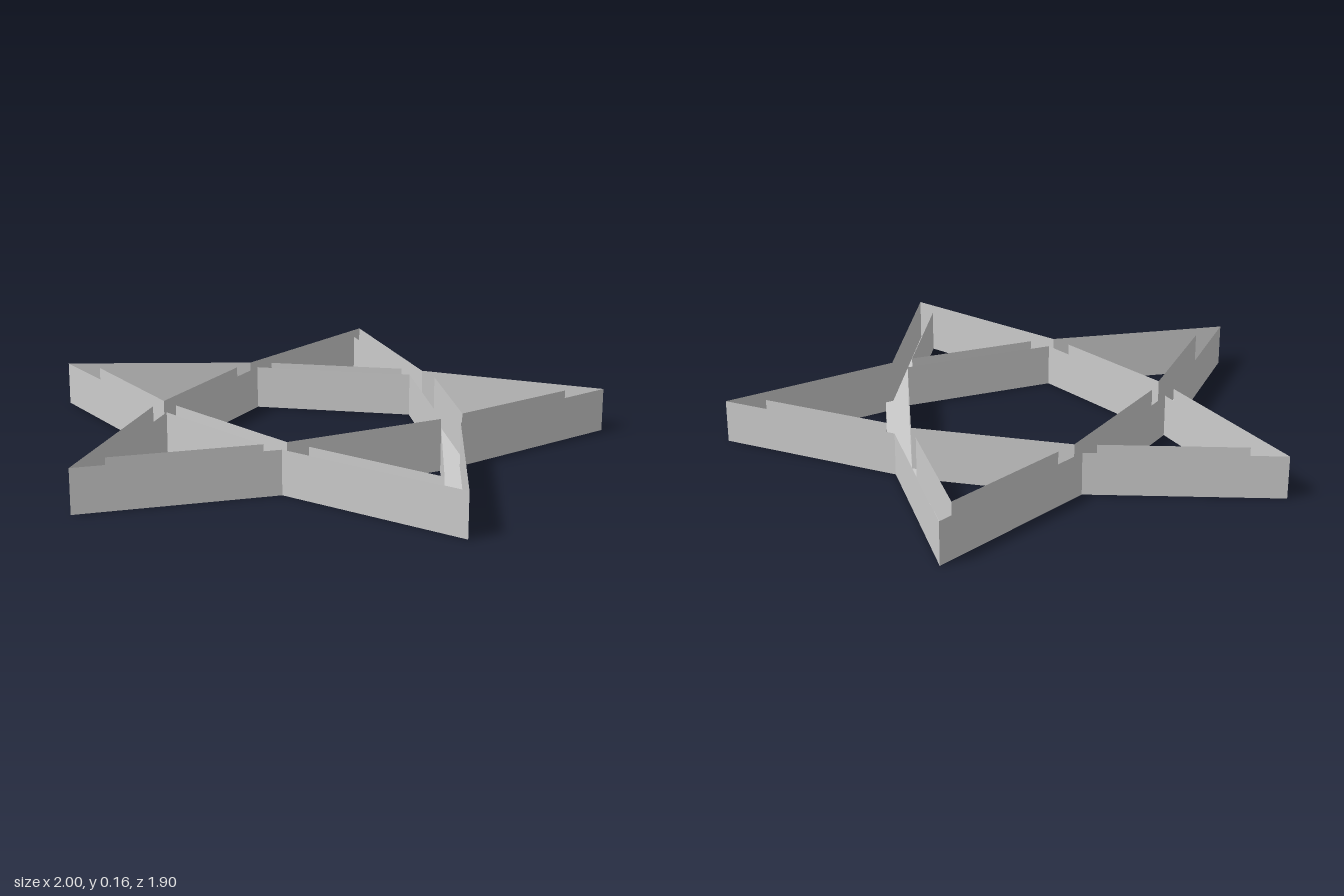
import * as THREE from 'three';

const HEIGHT = 0.155;

// Plan outlines as [x, z]
const outline = [
  [0, -0.95], [0.33, -0.355], [1, -0.23], [0.535, 0.265], [0.627, 0.94],
  [0, 0.655], [-0.615, 0.95], [-0.535, 0.265], [-1, -0.22], [-0.325, -0.355],
];
const pointOpenings = [
  [[0, -0.81], [0.25, -0.37], [-0.245, -0.365]],
  [[0.385, -0.275], [0.865, -0.185], [0.53, 0.16]],
  [[0.475, 0.325], [0.54, 0.825], [0.08, 0.61]],
  [[-0.07, 0.61], [-0.535, 0.83], [-0.47, 0.325]],
  [[-0.865, -0.18], [-0.36, -0.28], [-0.515, 0.195]],
];
const centreOpening = [[-0.285, -0.295], [0.29, -0.295], [0.465, 0.235], [0, 0.575], [-0.46, 0.24]];

const toVectors = (loop) => loop.map(([x, z]) => new THREE.Vector2(x, z));

// Thin upright wall following a closed loop
function wallGeometry(loop) {
  const positions = [];
  loop.forEach(([ax, az], i) => {
    const [bx, bz] = loop[(i + 1) % loop.length];
    positions.push(
      ax, 0, az, ax, HEIGHT, az, bx, HEIGHT, bz,
      ax, 0, az, bx, HEIGHT, bz, bx, 0, bz,
    );
  });
  const geometry = new THREE.BufferGeometry();
  geometry.setAttribute('position', new THREE.Float32BufferAttribute(positions, 3));
  geometry.computeVertexNormals();
  return geometry;
}

export function createModel() {
  const group = new THREE.Group();
  group.name = 'openStarTray';
  const material = new THREE.MeshStandardMaterial({
    color: 0xcccccc, side: THREE.DoubleSide, flatShading: true,
  });
  const add = (name, geometry) => {
    const mesh = new THREE.Mesh(geometry, material);
    mesh.name = name;
    group.add(mesh);
  };

  // Flat floor of the star-shaped channel; its top is open
  const floor = new THREE.Shape(toVectors(outline));
  floor.holes = [...pointOpenings, centreOpening].map((loop) => new THREE.Path(toVectors(loop)));
  add('floor', new THREE.ShapeGeometry(floor).rotateX(Math.PI / 2));

  // Walls around the outside, the five points and the pentagon
  add('outerWall', wallGeometry(outline));
  pointOpenings.forEach((loop, i) => add(`pointWall${i + 1}`, wallGeometry(loop)));
  add('centreWall', wallGeometry(centreOpening));
  return group;
}
